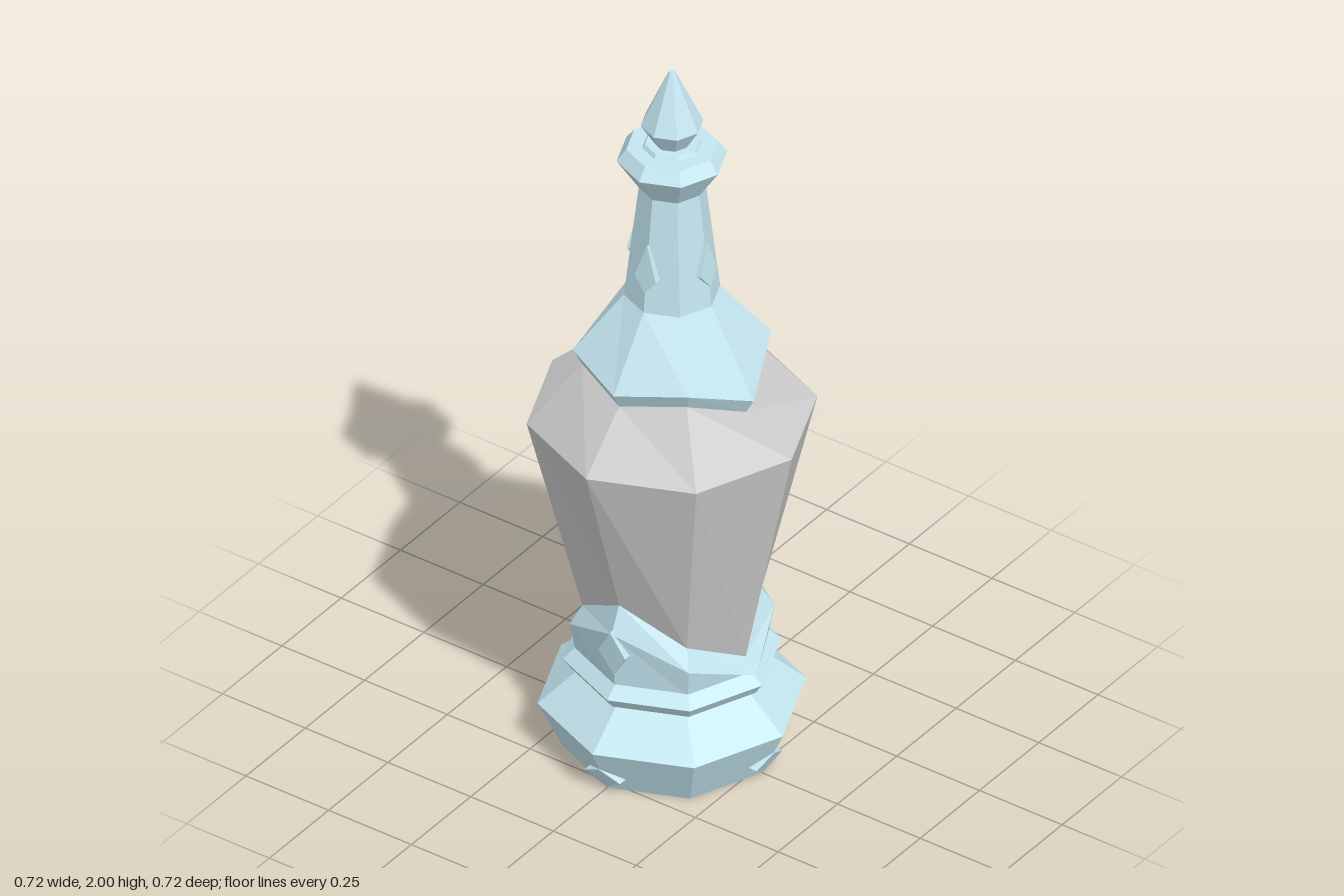
import * as THREE from 'three';

const grey = new THREE.MeshStandardMaterial({ color: 0xcccccc, flatShading: true });
const blue = new THREE.MeshStandardMaterial({ color: 0xc4e6f0, flatShading: true });

// Eight-sided loft. Each ring is [radius, y] or [radius, ySide, yDiagonal, yFront],
// so that its edge can rise and dip around the vessel. Rings run bottom to top.
function loft(name, rings, material) {
  const corner = ([r, side, diagonal = side, front = side], i) => {
    const a = (i * Math.PI) / 4;
    const y = i % 2 ? diagonal : i % 4 ? front : side;
    return [r * Math.cos(a), y, r * Math.sin(a)];
  };
  const pos = [];
  for (let k = 0; k < rings.length - 1; k++) {
    for (let i = 0; i < 8; i++) {
      const a = corner(rings[k], i), b = corner(rings[k], i + 1);
      const c = corner(rings[k + 1], i + 1), d = corner(rings[k + 1], i);
      if (rings[k][0] > 0) pos.push(...a, ...c, ...b);
      if (rings[k + 1][0] > 0) pos.push(...a, ...d, ...c);
    }
  }
  return meshFrom(name, pos, material);
}

function meshFrom(name, pos, material) {
  const geometry = new THREE.BufferGeometry();
  geometry.setAttribute('position', new THREE.Float32BufferAttribute(pos, 3));
  geometry.computeVertexNormals();
  const mesh = new THREE.Mesh(geometry, material);
  mesh.name = name;
  return mesh;
}

// Flat diamond stud facing +z, its back sunk into the vessel
function diamond(name, [yLow, yMid, yTop], half, zLow, zTop, depth) {
  const zAt = (y) => zLow + ((zTop - zLow) * (y - yLow)) / (yTop - yLow);
  const front = [[0, yLow], [half, yMid], [0, yTop], [-half, yMid]].map(([x, y]) => [x, y, zAt(y)]);
  const back = front.map(([x, y, z]) => [x, y, z - depth]);
  const pos = [...front[0], ...front[1], ...front[2], ...front[0], ...front[2], ...front[3]];
  for (let i = 0; i < 4; i++) {
    const j = (i + 1) % 4;
    pos.push(...front[i], ...back[i], ...back[j], ...front[i], ...back[j], ...front[j]);
  }
  return meshFrom(name, pos, blue);
}

export function createModel() {
  const model = new THREE.Group();
  model.name = 'bottle';

  // Foot and the ring above it
  model.add(loft('foot', [[0, 0], [0.272, 0], [0.335, 0.135], [0.225, 0.232]], blue));
  model.add(loft('footRing', [[0.22, 0.232], [0.252, 0.232], [0.272, 0.262], [0.238, 0.295], [0.2, 0.295]], blue));

  // Pointed collar holding the body
  model.add(loft('lowerCollar', [
    [0.24, 0.284], [0.255, 0.45, 0.365, 0.286], [0.223, 0.52, 0.418, 0.33],
  ], blue));

  // Glass body with shoulder
  model.add(loft('body', [
    [0.223, 0.52, 0.418, 0.33], [0.362, 0.98], [0.224, 1.12, 1.145, 1.067],
  ], grey));

  // Cap with wavy rim, neck and flared lip
  model.add(loft('neck', [
    [0.224, 1.12, 1.145, 1.067], [0.247, 1.163, 1.19, 1.108], [0.12, 1.342],
    [0.083, 1.66], [0.138, 1.745], [0.114, 1.778], [0.074, 1.778],
    [0.068, 1.788], [0, 1.788],
  ], blue));

  // Stopper
  model.add(loft('stopper', [[0.042, 1.785], [0.078, 1.845], [0.008, 2], [0, 2]], blue));

  // Diamond studs around neck and foot, and on both sides of the collar
  for (let i = 0; i < 4; i++) {
    const studs = new THREE.Group();
    studs.name = 'studs' + (i + 1);
    studs.add(diamond('neckStud', [1.4, 1.44, 1.535], 0.032, 0.117, 0.105, 0.03));
    studs.add(diamond('footStud', [0.005, 0.045, 0.075], 0.054, 0.276, 0.309, 0.04));
    if (i % 2) studs.add(diamond('collarStud', [0.325, 0.39, 0.46], 0.04, 0.246, 0.262, 0.04));
    studs.rotation.y = (i * Math.PI) / 2;
    model.add(studs);
  }
  return model;
}
